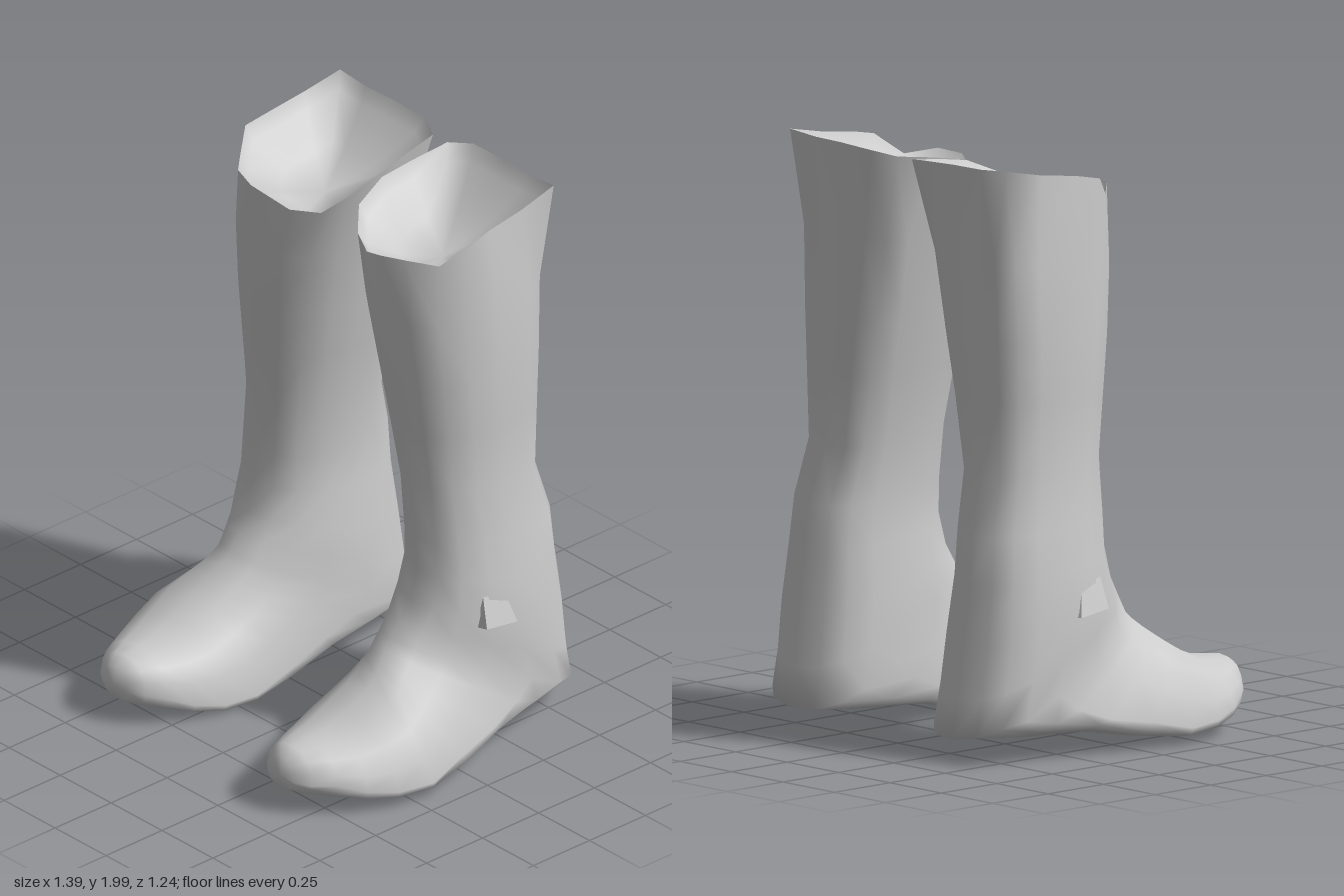
import * as THREE from 'three';
import { ConvexGeometry } from 'three/addons/geometries/ConvexGeometry.js';

const N = 16;

// Opening of the left boot, from the outer side round via the front: x, y, z
const RIM = [
  [0.54, 1.95, -0.2], [0.55, 1.93, -0.1], [0.49, 1.86, -0.02], [0.41, 1.88, 0.06],
  [0.32, 1.87, 0.085], [0.19, 1.81, 0.03], [0.09, 1.82, -0.02], [0.03, 1.88, -0.08],
  [0.01, 1.93, -0.2], [0.02, 1.95, -0.32], [0.035, 1.97, -0.47], [0.12, 1.985, -0.51],
  [0.28, 1.99, -0.505], [0.4, 1.99, -0.5], [0.525, 2.0, -0.5], [0.535, 1.97, -0.35],
];

// Cross-sections that turn from level (shaft) to upright (toe):
// front y, front z, back y, back z, inner x, outer x, widest place (0 front, 1 back), back squareness
const SECTIONS = [
  [1.62, 0.068, 1.68, -0.497, 0.075, 0.562, 0.5, 3.4],
  [1.4, 0.045, 1.4, -0.492, 0.12, 0.567, 0.5, 3],
  [1.2, 0.022, 1.2, -0.487, 0.16, 0.562, 0.5, 2.8],
  [1.0, 0.0, 0.95, -0.483, 0.2, 0.555, 0.5, 2.6],
  [0.8, 0.0, 0.76, -0.537, 0.215, 0.58, 0.5, 2.5],
  [0.68, 0.0, 0.6, -0.55, 0.21, 0.595, 0.5, 2.5],
  [0.575, 0.025, 0.4, -0.577, 0.19, 0.612, 0.5, 2.5],
  [0.51, 0.07, 0.22, -0.6, 0.185, 0.607, 0.55, 2.5],
  [0.455, 0.11, 0.075, -0.62, 0.18, 0.605, 0.6, 2.6],
  [0.425, 0.14, 0.06, -0.42, 0.183, 0.615, 0.7, 3.2],
  [0.395, 0.17, 0.058, -0.2, 0.183, 0.638, 0.8, 4],
  [0.365, 0.205, 0.022, 0.0, 0.18, 0.668, 0.86, 5],
  [0.33, 0.25, 0.0, 0.18, 0.172, 0.695, 0.9, 5],
  [0.28, 0.34, 0.008, 0.32, 0.18, 0.675, 0.88, 5],
  [0.25, 0.42, 0.025, 0.43, 0.212, 0.635, 0.82, 4],
  [0.238, 0.5, 0.045, 0.515, 0.255, 0.58, 0.72, 3.5],
  [0.23, 0.565, 0.06, 0.58, 0.298, 0.52, 0.62, 3],
  [0.205, 0.61, 0.075, 0.612, 0.345, 0.47, 0.55, 2.6],
];
const TOE = [0.41, 0.14, 0.62];

const bend = (v, n) => Math.sign(v) * Math.abs(v) ** (2 / n);

function section([fy, fz, by, bz, x0, x1, wide, square]) {
  return Array.from({ length: N }, (_, k) => {
    const a = (k / N) * Math.PI * 2;
    const n = Math.sin(a) < 0 ? square : 2.2;
    const x = (x0 + x1) / 2 + ((x1 - x0) / 2) * bend(Math.cos(a), n);
    const s = bend(Math.sin(a), n);
    const t = s > 0 ? wide * (1 - s) : wide - (1 - wide) * s;
    const y = fy + (by - fy) * t;
    // the sole leans slightly towards the inner side
    const lean = y < 0.12 ? (x - 0.17) * 0.06 : 0;
    return [x, y + lean, fz + (bz - fz) * t];
  });
}

// Skin over a row of rings, closed by one end point
function loft(rings, end, side, inward) {
  const points = [...rings.flat(), end];
  const index = [];
  const tri = (a, b, c) => index.push(...((side < 0) !== inward ? [a, c, b] : [a, b, c]));
  rings.forEach((_, i) => {
    for (let k = 0; k < N; k++) {
      const a = i * N + k, b = i * N + ((k + 1) % N);
      if (i === rings.length - 1) tri(a, b, points.length - 1);
      else {
        tri(a, b, a + N);
        tri(b, b + N, a + N);
      }
    }
  });
  const geo = new THREE.BufferGeometry();
  const flat = points.flatMap(([x, y, z]) => [x * side, y, z]);
  geo.setAttribute('position', new THREE.Float32BufferAttribute(flat, 3));
  geo.setIndex(index);
  geo.computeVertexNormals();
  return geo;
}

function makeBoot(side, name) {
  const boot = new THREE.Group();
  boot.name = name;
  const material = new THREE.MeshStandardMaterial({ color: 0xcccccc, side: THREE.DoubleSide });
  const add = (geo, part) => {
    const mesh = new THREE.Mesh(geo, material);
    mesh.name = part;
    boot.add(mesh);
  };

  // Shaft, heel and foot in one skin
  add(loft([RIM, ...SECTIONS.map(section)], TOE, side, false), 'bootSkin');

  // Sunken lining inside the opening
  const low = [0.29, 1.74, -0.22];
  const ring = (s, drop) => RIM.map((p) =>
    p.map((v, i) => low[i] + (v - low[i]) * s - (i === 1 ? drop : 0)));
  add(loft([RIM, ring(0.9, 0.03), ring(0.5, 0.04)], low, side, true), 'openingLining');

  // Small crease that overhangs the outer ankle
  const fold = [
    [0.585, 0.6, -0.13], [0.59, 0.59, -0.22], [0.615, 0.495, -0.12],
    [0.622, 0.48, -0.25], [0.57, 0.49, -0.11], [0.57, 0.48, -0.26],
  ];
  add(new ConvexGeometry(fold.map(([x, y, z]) => new THREE.Vector3(x * side, y, z))), 'ankleFold');
  return boot;
}

export function createModel() {
  const model = new THREE.Group();
  model.name = 'pairOfBoots';
  model.add(makeBoot(1, 'leftBoot'), makeBoot(-1, 'rightBoot'));
  return model;
}
